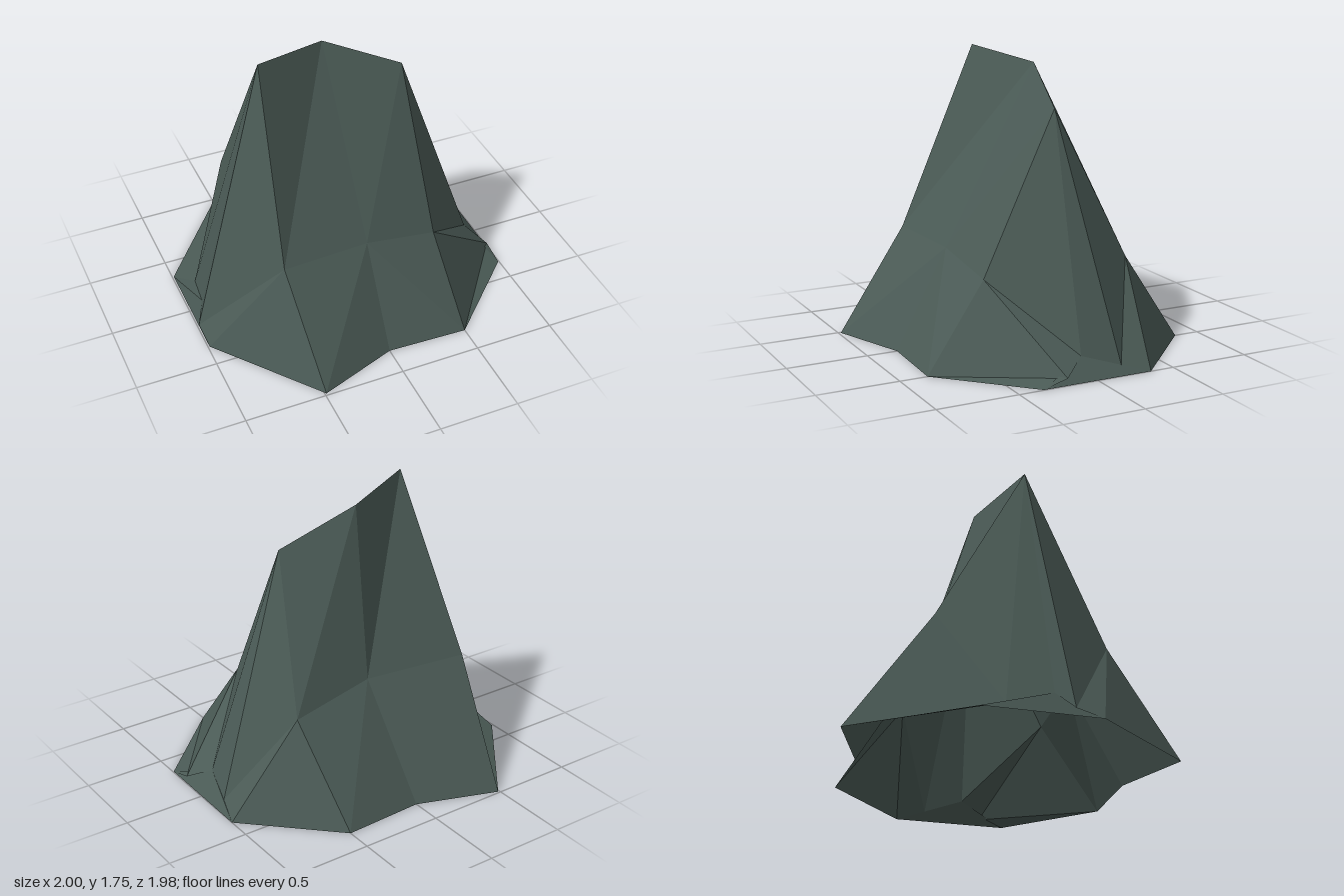
import * as THREE from 'three';

// Corner points of the rock, grouped by level
const points = {
  // crest
  crestL: [-0.51, 1.75, 0.06], crestM: [-0.04, 1.68, -0.13], crestR: [0.43, 1.47, -0.02],
  // shoulders, front and back
  frontL: [-0.56, 0.62, 0.53], frontM: [-0.01, 0.60, 0.48], frontR: [0.45, 0.51, 0.45],
  backL: [-0.58, 0.70, -0.50], backM: [0.07, 0.69, -0.41], backR: [0.58, 0.58, -0.42],
  // low ledges on both ends
  ledgeRF: [0.99, 0.04, 0.19], ledgeRM: [0.89, 0.12, 0.05], ledgeRB: [0.95, 0.05, -0.18],
  ledgeLF: [-1.00, 0.04, 0.18], ledgeLM: [-0.94, 0.14, 0.08], ledgeLB: [-0.90, 0.07, -0.18],
  // ground outline
  g0: [-0.49, 0, 0.985], g1: [0, 0, 0.81], g2: [0.50, 0, 0.83], g3: [0.995, 0, 0.345], g4: [1, 0, -0.35],
  g5: [0.50, 0, -0.84], g6: [0, 0, -0.815], g7: [-0.49, 0, -0.99], g8: [-0.99, 0, -0.35], g9: [-0.99, 0, 0.345],
};

// Facets of each side, counter-clockwise from outside
const sides = {
  frontFace: [
    'crestL frontL crestM', 'frontL frontM crestM', 'crestM frontM crestR', 'frontM frontR crestR',
    'frontL g0 frontM', 'g0 g1 frontM', 'frontM g1 g2', 'frontM g2 frontR',
  ],
  rightEnd: [
    'frontR g2 ledgeRF', 'g2 g3 ledgeRF', 'frontR ledgeRF ledgeRM', 'crestR frontR ledgeRM',
    'crestR ledgeRM ledgeRB', 'crestR ledgeRB backR', 'backR ledgeRB g4', 'backR g4 g5',
    'ledgeRF g3 ledgeRM', 'ledgeRM g3 g4', 'ledgeRM g4 ledgeRB',
  ],
  backFace: [
    'crestR backR crestM', 'crestM backR backM', 'crestM backM crestL', 'crestL backM backL',
    'backR g5 backM', 'g5 g6 backM', 'backM g6 g7', 'backM g7 backL',
  ],
  leftEnd: [
    'backL g7 ledgeLB', 'g7 g8 ledgeLB', 'crestL backL ledgeLB', 'crestL ledgeLB ledgeLM',
    'crestL ledgeLM ledgeLF', 'crestL ledgeLF frontL', 'ledgeLB g8 ledgeLM', 'ledgeLM g8 g9',
    'ledgeLM g9 ledgeLF', 'frontL ledgeLF g9', 'frontL g9 g0',
  ],
};

export function createModel() {
  const group = new THREE.Group();
  group.name = 'rock';
  // Hollow shell, open underneath
  const stone = new THREE.MeshStandardMaterial({ color: 0x4a5a55, flatShading: true, side: THREE.DoubleSide });
  stone.name = 'greenGreyStone';

  for (const [name, facets] of Object.entries(sides)) {
    const corners = facets.flatMap((facet) => facet.split(' ').flatMap((key) => points[key]));
    const geometry = new THREE.BufferGeometry();
    geometry.setAttribute('position', new THREE.Float32BufferAttribute(corners, 3));
    geometry.computeVertexNormals();
    const mesh = new THREE.Mesh(geometry, stone);
    mesh.name = name;
    group.add(mesh);
  }
  return group;
}
